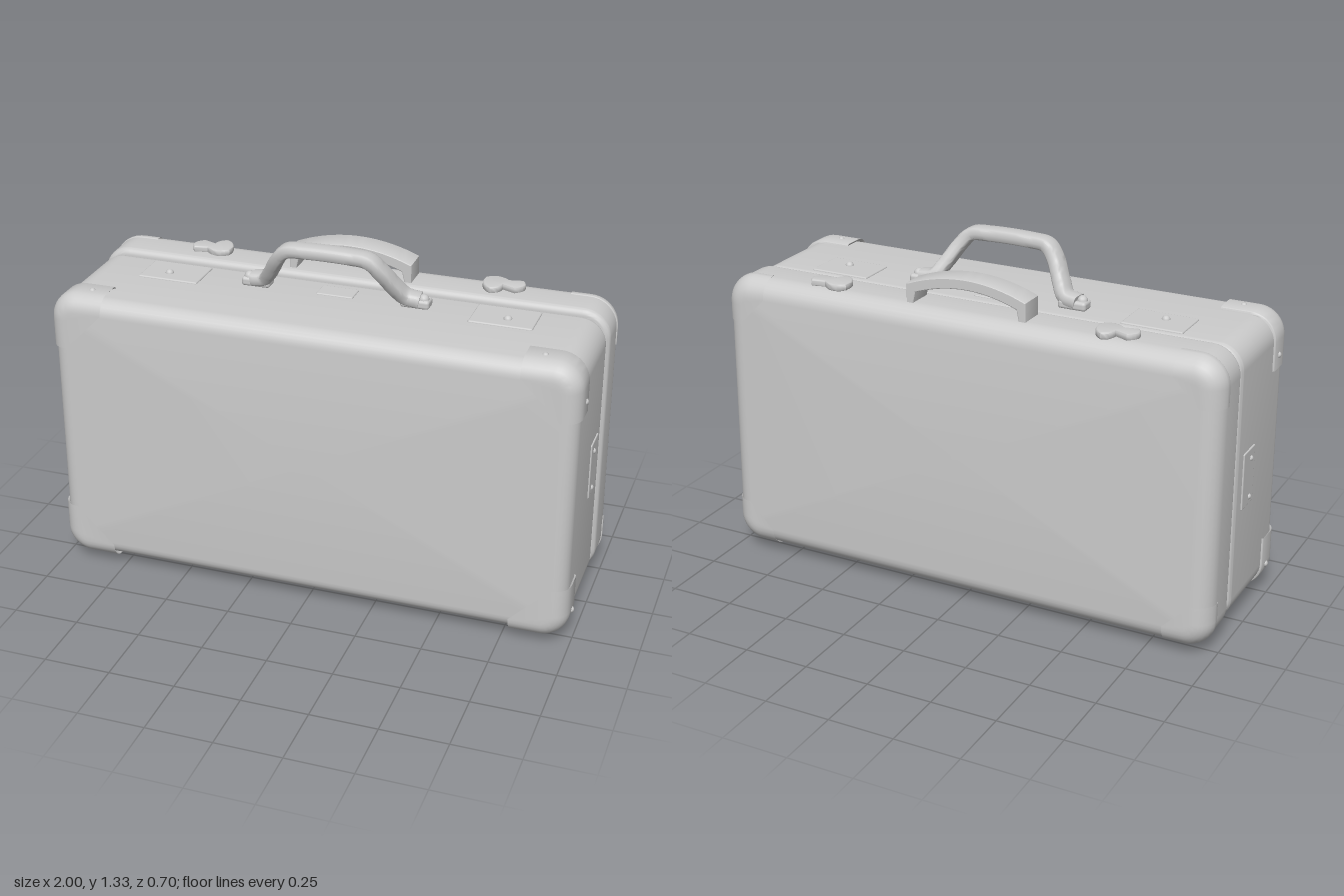
import * as THREE from 'three';
import { toCreasedNormals } from 'three/addons/utils/BufferGeometryUtils.js';
import { RoundedBoxGeometry } from 'three/addons/geometries/RoundedBoxGeometry.js';

const material = new THREE.MeshStandardMaterial({ color: 0xcccccc, roughness: 0.8 });

function add(parent, name, geometry, x = 0, y = 0, z = 0) {
  const mesh = new THREE.Mesh(geometry, material);
  mesh.name = name;
  mesh.position.set(x, y, z);
  parent.add(mesh);
  return mesh;
}

// Skin a list of closed rings (arrays of Vector3) and cap both ends.
function loft(rings, crease = 0.6) {
  const n = rings[0].length, pos = [], index = [];
  rings.forEach(r => r.forEach(p => pos.push(p.x, p.y, p.z)));
  for (let i = 0; i < rings.length - 1; i++) {
    for (let j = 0; j < n; j++) {
      const a = i * n + j, b = i * n + (j + 1) % n;
      index.push(a, b, b + n, a, b + n, a + n);
    }
  }
  [0, rings.length - 1].forEach((k, end) => {
    const c = new THREE.Vector3();
    rings[k].forEach(p => c.addScaledVector(p, 1 / n));
    const ci = pos.length / 3;
    pos.push(c.x, c.y, c.z);
    for (let j = 0; j < n; j++) {
      const a = k * n + j, b = k * n + (j + 1) % n;
      if (end) index.push(ci, a, b); else index.push(ci, b, a);
    }
  });
  const g = new THREE.BufferGeometry();
  g.setAttribute('position', new THREE.Float32BufferAttribute(pos, 3));
  g.setIndex(index);
  return toCreasedNormals(g, crease);
}

// Rounded corner k (0..3, counter-clockwise from +x +y) of a case outline.
function cornerArc(c, k, inset, z) {
  const sx = k === 0 || k === 3 ? 1 : -1, sy = k < 2 ? 1 : -1, pts = [];
  for (let i = 0; i <= 10; i++) {
    const a = (k + i / 10) * Math.PI / 2, r = c.r - inset;
    pts.push(new THREE.Vector3(sx * (c.w - c.r) + r * Math.cos(a), c.cy + sy * (c.h - c.r) + r * Math.sin(a), z));
  }
  return pts;
}

// Depth profile of [z, inset] pairs with a rounded edge at each end.
function edgeProfile(z0, r0, z1, r1) {
  const p = [];
  for (let i = 0; i <= 7; i++) {
    const a = i / 7 * Math.PI / 2;
    p.push([z0 + r0 * (1 - Math.cos(a)), r0 * (1 - Math.sin(a))]);
  }
  for (let i = 0; i <= 7; i++) {
    const a = i / 7 * Math.PI / 2;
    p.push([z1 - r1 * (1 - Math.sin(a)), r1 * (1 - Math.cos(a))]);
  }
  return p;
}

function caseShell(c, profile) {
  return loft(profile.map(([z, inset]) => [0, 1, 2, 3].flatMap(k => cornerArc(c, k, inset, z))));
}

// Wedge that sits over one corner; its straight legs end on a diagonal edge.
function cornerGuard(c, k, leg, profile) {
  return loft(profile.map(([z, inset]) => {
    const arc = cornerArc(c, k, inset, z);
    const a = k * Math.PI / 2, dx = Math.cos(a), dy = Math.sin(a);
    const start = arc[0].clone().add(new THREE.Vector3(dy * leg, -dx * leg, 0));
    const stop = arc[arc.length - 1].clone().add(new THREE.Vector3(-dx * leg, -dy * leg, 0));
    return [start, ...arc, stop];
  }));
}

// Carrying handle: a rounded section swept along a path that leans forward.
function handleGeometry() {
  const half = [[0.32, 1.145, -0.01], [0.27, 1.155, -0.005], [0.235, 1.2, 0.025],
    [0.195, 1.265, 0.062], [0.155, 1.307, 0.078], [0.09, 1.315, 0.08]];
  const path = [...half.map(([x, y, z]) => [-x, y, z]), ...half.reverse()];
  const curve = new THREE.CatmullRomCurve3(path.map(p => new THREE.Vector3(...p)), false, 'centripetal');
  const rings = [];
  for (let i = 0; i <= 56; i++) {
    const p = curve.getPoint(i / 56), t = curve.getTangent(i / 56);
    const up = new THREE.Vector3(0, 0, 1).cross(t).normalize();
    const side = t.clone().cross(up);
    const ring = [];
    for (let j = 0; j < 16; j++) {
      const a = j / 16 * Math.PI * 2, c = Math.cos(a), s = Math.sin(a);
      ring.push(p.clone()
        .addScaledVector(up, 0.025 * Math.sign(c) * Math.sqrt(Math.abs(c)))
        .addScaledVector(side, 0.036 * Math.sign(s) * Math.sqrt(Math.abs(s))));
    }
    rings.push(ring);
  }
  return loft(rings, 0.9);
}

// Arched strap with short upright ends.
function strapGeometry() {
  const s = new THREE.Shape();
  s.moveTo(-0.235, 1.13);
  s.lineTo(-0.235, 1.2);
  s.quadraticCurveTo(0, 1.295, 0.235, 1.2);
  s.lineTo(0.235, 1.13);
  s.lineTo(0.215, 1.13);
  s.lineTo(0.205, 1.175);
  s.quadraticCurveTo(0, 1.255, -0.205, 1.175);
  s.lineTo(-0.215, 1.13);
  const g = new THREE.ExtrudeGeometry(s, { depth: 0.09, curveSegments: 20,
    bevelEnabled: true, bevelSize: 0.004, bevelThickness: 0.006, bevelSegments: 2 });
  return toCreasedNormals(g, 0.5);
}

// Bow-shaped latch lying flat on the lid.
function latchGeometry() {
  const s = new THREE.Shape();
  s.moveTo(-0.075, 0.03);
  s.quadraticCurveTo(-0.085, -0.03, -0.04, -0.055);
  s.quadraticCurveTo(-0.01, -0.05, -0.005, -0.01);
  s.lineTo(0.045, -0.03);
  s.quadraticCurveTo(0.09, 0, 0.06, 0.035);
  s.lineTo(0.01, 0.025);
  s.quadraticCurveTo(-0.04, 0.07, -0.075, 0.03);
  const g = new THREE.ExtrudeGeometry(s, { depth: 0.014, curveSegments: 6,
    bevelEnabled: true, bevelSize: 0.005, bevelThickness: 0.006, bevelSegments: 3 });
  return toCreasedNormals(g.rotateX(-Math.PI / 2), 0.7);
}

export function createModel() {
  const model = new THREE.Group();
  model.name = 'suitcase';

  // Deep front half
  const body = { w: 0.985, h: 0.535, cy: 0.586, r: 0.095 };
  add(model, 'body', caseShell(body, edgeProfile(-0.125, 0.03, 0.343, 0.06)));
  const bodyGuard = { w: 0.993, h: 0.547, cy: 0.586, r: 0.103 };
  for (let k = 0; k < 4; k++) {
    add(model, 'bodyCornerGuard', cornerGuard(bodyGuard, k, 0.11, edgeProfile(0.205, 0.012, 0.349, 0.065)));
  }

  // Shallow rear half, leaning slightly
  const lid = new THREE.Group();
  lid.name = 'lid';
  lid.rotation.x = 0.013;
  model.add(lid);
  const shell = { w: 0.992, h: 0.546, cy: 0.587, r: 0.105 };
  add(lid, 'lidShell', caseShell(shell, edgeProfile(-0.348, 0.075, -0.148, 0.025)));
  const lidGuard = { w: 0.996, h: 0.55, cy: 0.587, r: 0.109 };
  for (let k = 0; k < 4; k++) {
    add(lid, 'lidCornerGuard', cornerGuard(lidGuard, k, 0.07, edgeProfile(-0.35, 0.077, -0.27, 0.003)));
  }
  add(lid, 'lidStrap', strapGeometry(), 0, 0, -0.28);

  // Latches, lock plates and side plates
  for (const s of [-1, 1]) {
    const latch = add(lid, 'latch', latchGeometry(), s * 0.575, 1.135, -0.25);
    if (s < 0) latch.rotation.y = Math.PI;
    add(model, 'lockPlate', new RoundedBoxGeometry(0.235, 0.016, 0.16, 2, 0.006), s * 0.635, 1.119, -0.01);
    add(model, 'lockButton', new THREE.SphereGeometry(0.016, 14, 10), s * 0.65, 1.125, 0.01);
    add(model, 'sidePlate', new RoundedBoxGeometry(0.012, 0.22, 0.11, 2, 0.005), s * 0.984, 0.59, 0);
    for (const y of [0.51, 0.66]) {
      add(model, 'sideRivet', new THREE.SphereGeometry(0.012, 12, 8), s * 0.986, y, 0.015);
    }
    for (const y of [0.13, 0.97]) {
      add(model, 'cornerRivet', new THREE.SphereGeometry(0.013, 12, 8), s * 0.988, y, 0.25);
    }
    add(model, 'cornerRivet', new THREE.SphereGeometry(0.013, 12, 8), s * 0.845, 1.127, 0.265);

    // Handle mounts
    add(model, 'handleFoot', new RoundedBoxGeometry(0.11, 0.035, 0.06, 3, 0.012), s * 0.305, 1.135, -0.012);
    add(model, 'handlePin', new THREE.SphereGeometry(0.02, 14, 10), s * 0.335, 1.15, -0.008);
  }
  add(model, 'centrePlate', new RoundedBoxGeometry(0.14, 0.014, 0.08, 2, 0.005), 0, 1.119, -0.03);
  add(model, 'handle', handleGeometry());

  // Worn hinge strip hanging along the bottom seam
  const strip = new THREE.Shape();
  strip.moveTo(-0.77, 0.06);
  for (let i = 0; i <= 40; i++) {
    const x = -0.77 + 1.54 * i / 40;
    strip.lineTo(x, 0.019 + 0.006 * Math.sin(x * 9) + 0.004 * Math.sin(x * 23 + 1) - (i === 22 ? 0.01 : 0));
  }
  strip.lineTo(0.77, 0.06);
  add(model, 'hingeStrip', new THREE.ExtrudeGeometry(strip, { depth: 0.008, bevelEnabled: false }), 0, 0, -0.105);
  add(model, 'hingeLip', new RoundedBoxGeometry(1.5, 0.012, 0.13, 2, 0.005), 0, 0.042, -0.2);

  return model;
}
